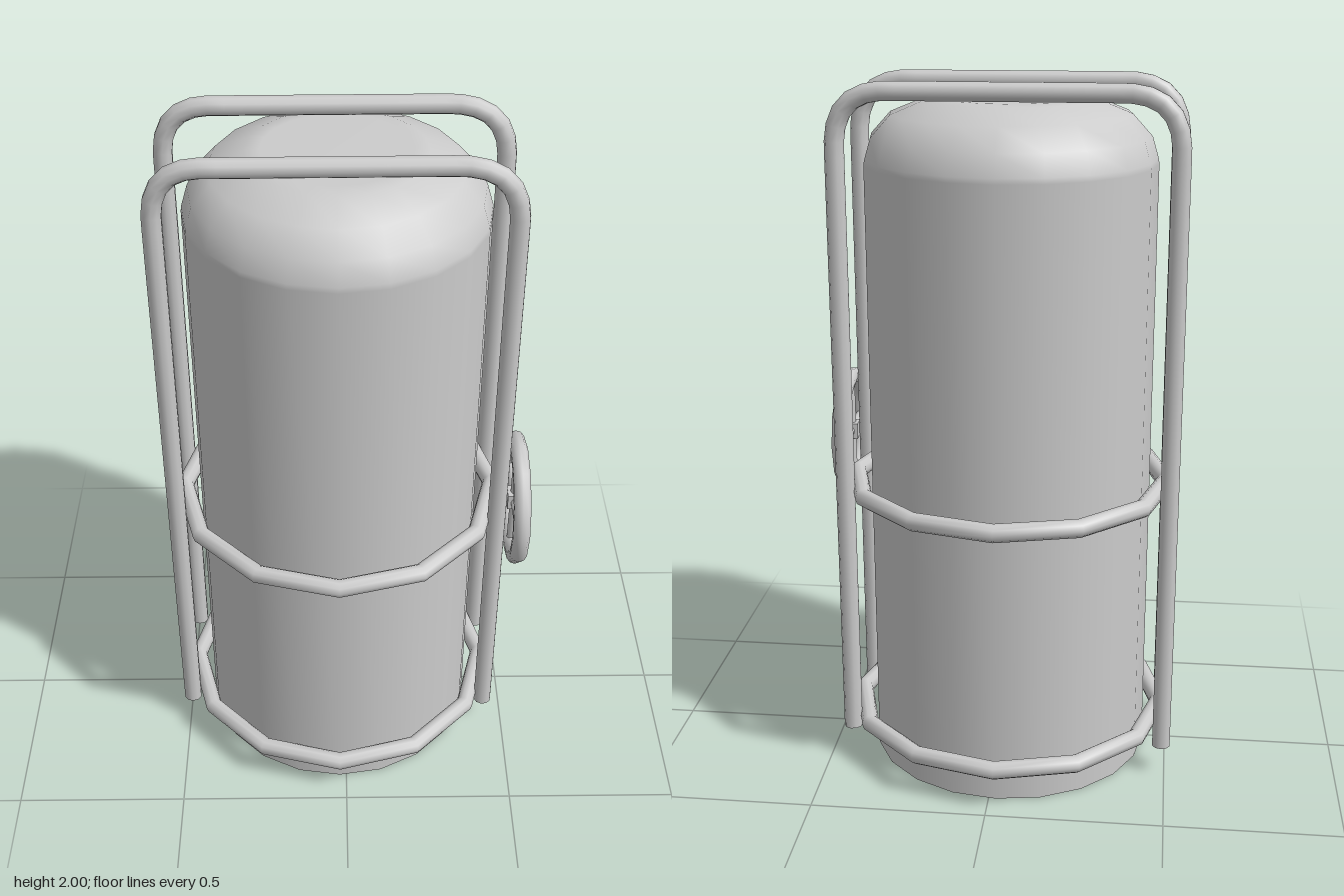
import * as THREE from 'three';

const material = new THREE.MeshStandardMaterial({ color: 0xcccccc });
const openMaterial = new THREE.MeshStandardMaterial({ color: 0xcccccc, side: THREE.DoubleSide });

function add(parent, name, geometry, mat = material) {
  const mesh = new THREE.Mesh(geometry, mat);
  mesh.name = name;
  parent.add(mesh);
  return mesh;
}

const TANK_X = -0.02;
const TUBE = 0.027;

// Bent guard rail: two uprights joined over the top by a bar
function guardRail(name, z) {
  const group = new THREE.Group();
  group.name = name;
  const v = (x, y, dz) => new THREE.Vector3(x, y, z + dz);
  const left = -0.489, right = 0.438, top = 1.973, low = 0.085, bend = 0.15;
  const dl = -0.012, dr = 0.011;
  const a = v(left, top - bend, dl), b = v(left + bend, top, 0.002);
  const c = v(right - bend, top, -0.003), d = v(right, top - bend, dr);
  const path = new THREE.CurvePath();
  path.add(new THREE.LineCurve3(v(left, low, dl), a));
  path.add(new THREE.QuadraticBezierCurve3(a, v(left, top, dl), b));
  path.add(new THREE.LineCurve3(b, c));
  path.add(new THREE.QuadraticBezierCurve3(c, v(right, top, dr), d));
  path.add(new THREE.LineCurve3(d, v(right, low, dr)));
  add(group, 'rail', new THREE.TubeGeometry(path, 110, TUBE, 10));
  // Closed lower ends
  for (const [x, dz] of [[left, dl], [right, dr]]) {
    const cap = add(group, 'railEnd', new THREE.CircleGeometry(TUBE, 10));
    cap.rotation.x = Math.PI / 2;
    cap.position.set(x, low, z + dz);
  }
  return group;
}

// Valve handwheel, facing +x
function handwheel() {
  const group = new THREE.Group();
  group.name = 'handwheel';
  const rim = add(group, 'rim', new THREE.TorusGeometry(0.17, 0.025, 10, 12));
  rim.rotation.y = Math.PI / 2;
  for (const angle of [0, Math.PI / 2]) {
    const spoke = add(group, 'spoke', new THREE.CylinderGeometry(0.015, 0.015, 0.33, 8));
    spoke.rotation.x = angle;
  }
  add(group, 'hub', new THREE.BoxGeometry(0.048, 0.048, 0.048));
  group.position.set(0.489, 0.915, 0.162);
  return group;
}

export function createModel() {
  const model = new THREE.Group();

  // Tank shell, open underneath, with a rounded shoulder
  const profile = [
    [0.41, 0], [0.41, 1.765], [0.408, 1.78], [0.39, 1.84],
    [0.335, 1.9], [0.24, 1.938], [0.2, 1.943], [0, 1.943],
  ].map(([r, y]) => new THREE.Vector2(r, y));
  const tank = add(model, 'tank', new THREE.LatheGeometry(profile, 20), openMaterial);
  tank.position.x = TANK_X;

  // Twelve-sided hoops around the tank
  for (const [name, y] of [['lowerHoop', 0.12], ['upperHoop', 0.84]]) {
    const hoop = add(model, name, new THREE.TorusGeometry(0.457, 0.026, 10, 12));
    hoop.rotation.x = Math.PI / 2;
    hoop.position.set(TANK_X, y, 0);
  }

  model.add(guardRail('frontRail', 0.16), guardRail('backRail', -0.19));
  model.add(handwheel());
  return model;
}
